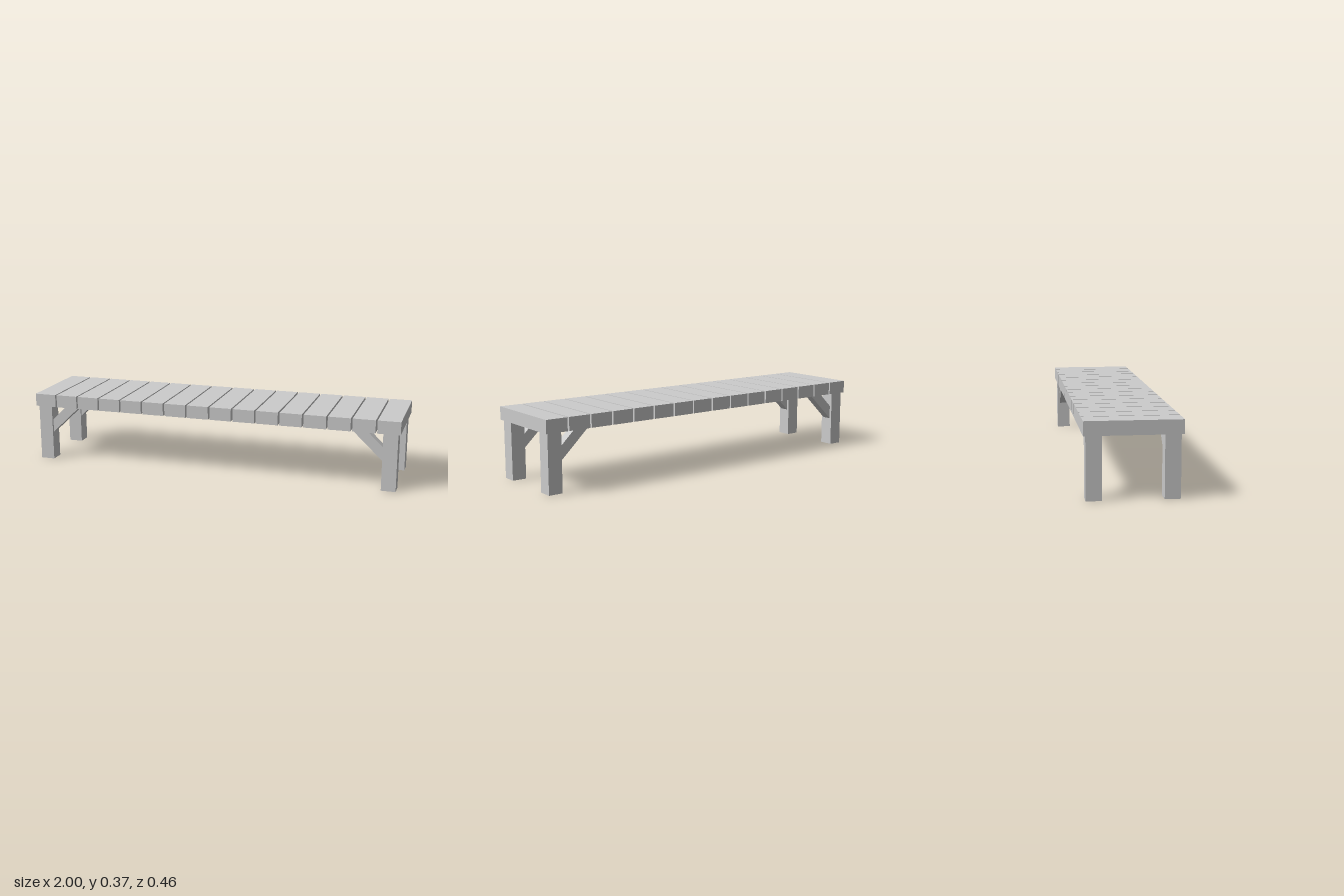
import * as THREE from 'three';

const material = new THREE.MeshStandardMaterial({ color: 0xcccccc, flatShading: true });

function addPart(parent, name, geometry, x, y, z) {
  const mesh = new THREE.Mesh(geometry, material);
  mesh.name = name;
  mesh.position.set(x, y, z);
  parent.add(mesh);
  return mesh;
}

export function createModel() {
  const bench = new THREE.Group();
  bench.name = 'slattedBench';

  const seatBottom = 0.302, seatTop = 0.37;
  const legSize = 0.075, legX = 0.95, legZ = 0.181;
  const braceDepth = 0.05;

  // Seat: a row of separate cross slats
  const slatCount = 16, slatWidth = 0.117;
  const pitch = (2 - slatWidth) / (slatCount - 1);
  const slat = new THREE.BoxGeometry(slatWidth, seatTop - seatBottom, 0.46);
  const seat = new THREE.Group();
  seat.name = 'seat';
  for (let i = 0; i < slatCount; i++) {
    addPart(seat, 'slat', slat, -1 + slatWidth / 2 + i * pitch, (seatTop + seatBottom) / 2, 0);
  }
  bench.add(seat);

  // Legs, each with a diagonal brace cut flush to the leg and the seat
  const leg = new THREE.BoxGeometry(legSize, seatBottom, legSize);
  const inner = legX - legSize / 2;
  for (const sx of [-1, 1]) {
    const profile = new THREE.Shape([
      new THREE.Vector2(sx * inner, 0.153),
      new THREE.Vector2(sx * inner, 0.225),
      new THREE.Vector2(sx * 0.832, seatBottom),
      new THREE.Vector2(sx * 0.755, seatBottom),
    ]);
    const brace = new THREE.ExtrudeGeometry(profile, { depth: braceDepth, bevelEnabled: false });
    for (const sz of [-1, 1]) {
      addPart(bench, 'leg', leg, sx * legX, seatBottom / 2, sz * legZ);
      addPart(bench, 'brace', brace, 0, 0, sz * legZ - braceDepth / 2);
    }
  }
  return bench;
}
